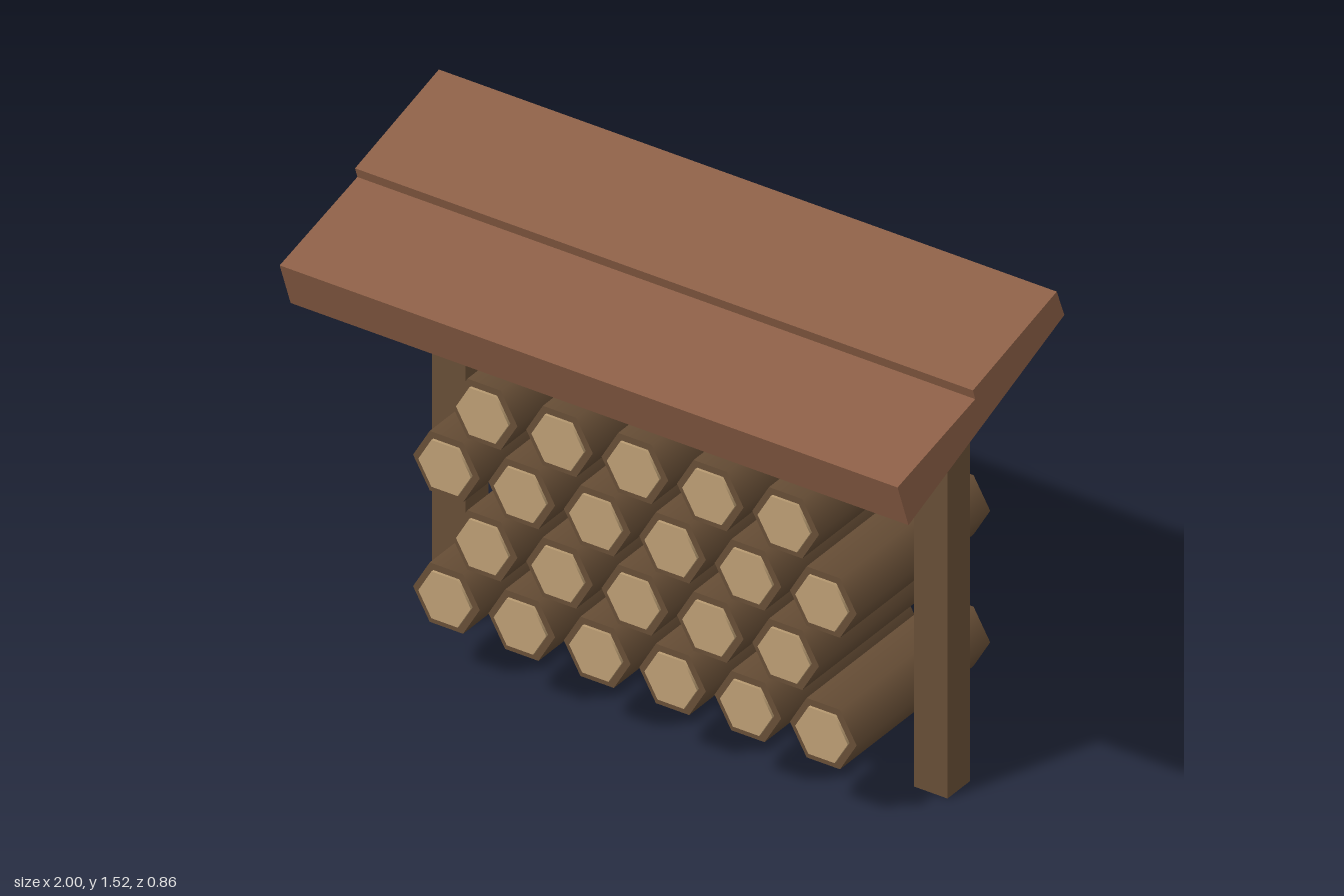
import * as THREE from 'three';

const material = (name, color) => {
  const m = new THREE.MeshStandardMaterial({ color });
  m.name = name;
  return m;
};

export function createModel() {
  const group = new THREE.Group();
  group.name = 'logShelter';
  const roofWood = material('red brown roof wood', 0x8b5e45);
  const darkWood = material('dark brown wood', 0x674e36);
  const cutWood = material('pale cut wood', 0xbc9e74);

  const add = (parent, name, geometry, mat, x, y, z) => {
    const mesh = new THREE.Mesh(geometry, mat);
    mesh.name = name;
    mesh.position.set(x, y, z);
    parent.add(mesh);
  };

  // Sloping roof of two lapped boards: (z, y) profile extruded across x
  const profile = [
    [0.428, 1.287], [0.376, 1.142], [-0.364, 1.424],
    [-0.328, 1.516], [0.07, 1.409], [0.059, 1.376],
  ].map(([z, y]) => new THREE.Vector2(z, y));
  const roof = new THREE.ExtrudeGeometry(new THREE.Shape(profile), { depth: 2, bevelEnabled: false });
  roof.rotateY(-Math.PI / 2);
  add(group, 'roof', roof, roofWood, 1, 0, 0);

  // Two square posts
  const post = new THREE.BoxGeometry(0.108, 1.318, 0.108);
  add(group, 'leftPost', post, darkWood, 0.777, 0.659, -0.111);
  add(group, 'rightPost', post, darkWood, -0.783, 0.659, -0.111);

  // Hexagonal prism along z with corners pointing left and right
  const hexPrism = (radius, length) =>
    new THREE.CylinderGeometry(radius, radius, length, 6, 1, false, Math.PI / 2).rotateX(Math.PI / 2);
  const log = hexPrism(0.108, 0.634);
  const cap = hexPrism(0.085, 0.009);

  // Staggered rows of six and five logs, with pale cut faces at the front
  for (let row = 0; row < 4; row++) {
    const count = row % 2 ? 5 : 6;
    const logRow = new THREE.Group();
    logRow.name = `logRow${row + 1}`;
    group.add(logRow);
    for (let i = 0; i < count; i++) {
      const x = -0.003 + (i - (count - 1) / 2) * 0.244;
      const y = 0.26 + row * 0.207;
      add(logRow, 'log', log, darkWood, x, y, -0.113);
      add(logRow, 'logCutFace', cap, cutWood, x, y, 0.2085);
    }
  }
  return group;
}
